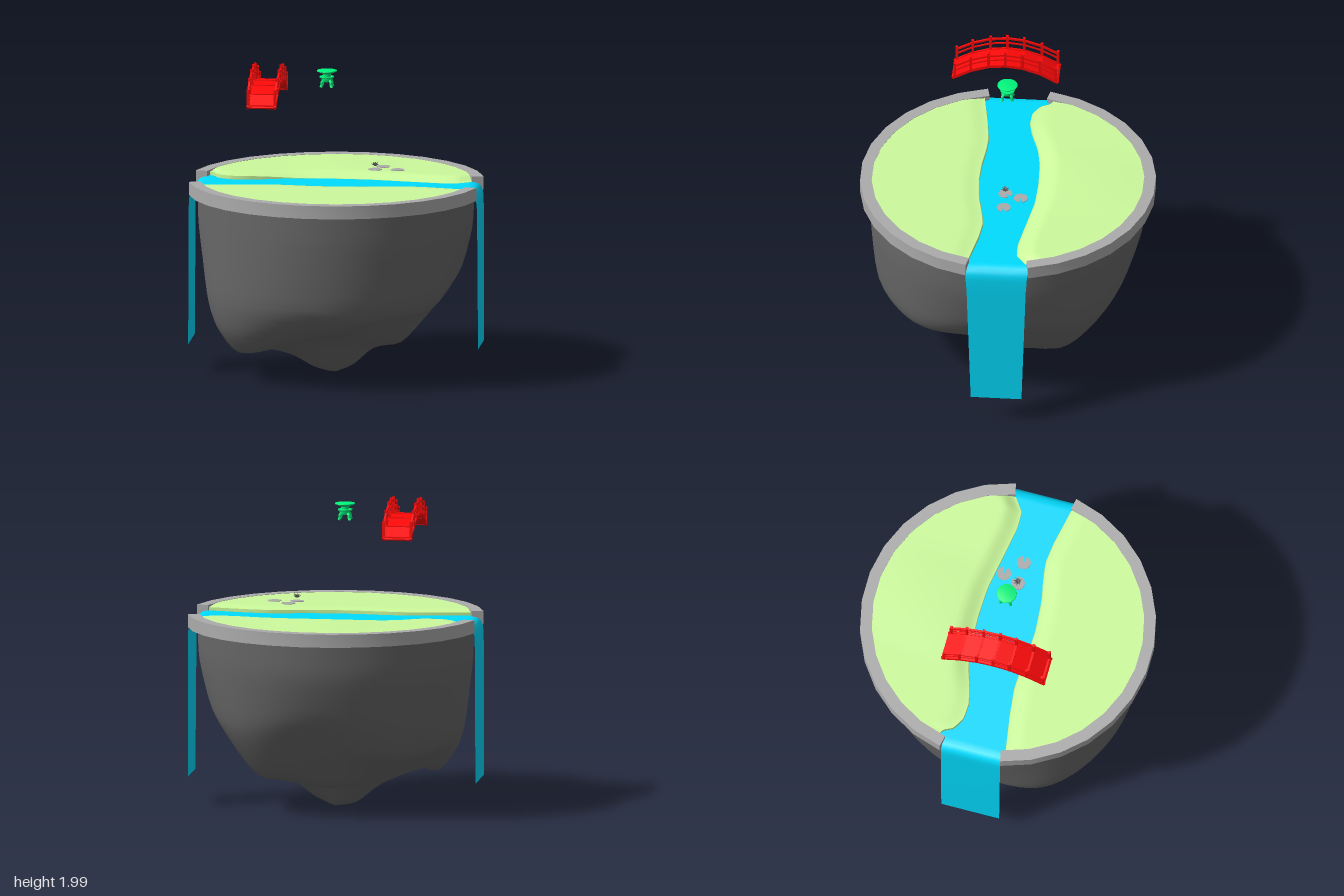
import * as THREE from 'three';
import { mergeVertices, toCreasedNormals } from 'three/addons/utils/BufferGeometryUtils.js';

const mat = color => new THREE.MeshStandardMaterial({ color, side: THREE.DoubleSide });
const STONE = mat(0xacacac), ROCK = mat(0x686868), GRASS = mat(0xccfa9c), WATER = mat(0x00dcff);
const RED = mat(0xff0808), GREEN = mat(0x00f57c);

function add(parent, name, geo, material, x = 0, y = 0, z = 0) {
  const m = new THREE.Mesh(geo, material);
  m.name = name;
  m.position.set(x, y, z);
  parent.add(m);
  return m;
}

// Surface from a rule: fn(u, v) returns [x, y, z]
function surface(nu, nv, fn) {
  const geo = new THREE.PlaneGeometry(1, 1, nu, nv);
  const p = geo.attributes.position, uv = geo.attributes.uv;
  for (let i = 0; i < p.count; i++) p.setXYZ(i, ...fn(uv.getX(i), uv.getY(i)));
  geo.deleteAttribute('uv');
  geo.deleteAttribute('normal');
  const merged = mergeVertices(geo, 1e-5);
  merged.computeVertexNormals();
  return merged;
}

// Piecewise linear lookup in [[x, value], ...]
function lookup(table, x) {
  for (let i = 1; i < table.length; i++) {
    const [x0, a] = table[i - 1], [x1, b] = table[i];
    if (x <= x1) return a + (b - a) * Math.max(0, (x - x0) / (x1 - x0));
  }
  return table[table.length - 1][1];
}

// Hanging rock: radial profiles [r, y] at given angles (from +x towards +z), blended in between
function rockGeometry() {
  const top = [.885, 1.17], tip = [0, 0];
  const profiles = [
    [0, [.87, .94], [.8, .68], [.7, .53], [.59, .385], [.42, .2], [.25, .17], [.13, .08]],
    [48, [.88, .94], [.84, .6], [.78, .47], [.62, .44], [.45, .3], [.28, .17], [.15, .06]],
    [90, [.88, .94], [.84, .545], [.75, .41], [.64, .34], [.45, .28], [.27, .14], [.14, .03]],
    [146, [.88, .94], [.87, .54], [.82, .33], [.71, .185], [.58, .21], [.33, .14], [.15, .04]],
    [183, [.88, .94], [.81, .545], [.75, .42], [.63, .34], [.48, .24], [.28, .14], [.14, .03]],
    [225, [.88, .94], [.8, .6], [.71, .4], [.56, .31], [.4, .21], [.28, .14], [.14, .04]],
    [270, [.87, .94], [.79, .68], [.68, .5], [.58, .36], [.42, .18], [.24, .17], [.14, .04]],
    [315, [.87, .94], [.81, .6], [.72, .42], [.58, .24], [.45, .21], [.3, .18], [.15, .07]],
  ].map(([deg, ...pts]) => ({
    deg,
    curve: new THREE.CatmullRomCurve3([top, ...pts, tip].map(([r, y]) => new THREE.Vector3(r, y, 0)), false, 'catmullrom', .4),
  }));
  profiles.push({ deg: 360, curve: profiles[0].curve });
  return surface(72, 32, (u, v) => {
    const deg = (u % 1) * 360, a = deg * Math.PI / 180;
    const k = profiles.findIndex(p => p.deg > deg), from = profiles[k - 1], to = profiles[k];
    const w = THREE.MathUtils.smoothstep(deg, from.deg, to.deg);
    const p = from.curve.getPoint(1 - v).lerp(to.curve.getPoint(1 - v), w);
    return [p.x * Math.cos(a), p.y, p.x * Math.sin(a)];
  });
}

// Half of the stone rim, between the two water gaps
function rimGeometry() {
  const n = 13, start = 12.2 * Math.PI / 180, step = (Math.PI - 2 * start) / n;
  const pts = [];
  const arc = (r, i) => pts.push(new THREE.Vector2(r * Math.cos(start + i * step), r * Math.sin(start + i * step)));
  for (let i = 0; i <= n; i++) arc(.948, i);
  for (let i = n; i >= 0; i--) arc(.873, i);
  const geo = new THREE.ExtrudeGeometry(new THREE.Shape(pts), { depth: .085, bevelEnabled: false });
  return toCreasedNormals(geo.rotateX(-Math.PI / 2), .6);
}

// Grass bank from the winding waterline out under the rim; drop(x) is the depth of its slope
function bankGeometry(side, line, drop, dome) {
  return surface(48, 20, (u, v) => {
    const x = .848 * Math.sin((u - .5) * Math.PI);
    const outer = Math.sqrt(.882 ** 2 - x * x);
    const edge = Math.min(lookup(line, x), outer);
    if (v < .01) return [x, 1.18, side * (edge + .002)];
    const s = ((v - .05) / .95) ** 1.6, d = s * (outer - edge);
    const h = (THREE.MathUtils.smoothstep(d, 0, .12) - 1) * drop(x);
    const swell = dome * Math.max(0, 1 - (x / .35) ** 2) * Math.sin(Math.PI * s);
    return [x, 1.248 + h + swell, side * (edge + d)];
  });
}

// River and both falls as one ribbon: [x, y, half width]
function waterGeometry() {
  const bend = [[.3, 1.215, .23], [.84, 1.215, .24], [.862, 1.214, .197], [.89, 1.207, .197], [.91, 1.19, .197],
    [.922, 1.165, .197], [.927, 1.13, .196]];
  const rightFall = [...bend, [.929, 1.05, .19], [.932, .19, .163]];
  const leftFall = [...bend, [.929, 1.05, .196], [.932, .19, .192]];
  const path = [...leftFall.map(([x, y, w]) => [-x, y, w]).reverse(), ...rightFall];
  const n = path.length - 1;
  return surface(n, 4, (u, v) => {
    const [x, y, w] = path[Math.round(u * n)];
    return [x, y, (v * 2 - 1) * w + .004];
  });
}

function buildBridge() {
  const g = new THREE.Group();
  g.name = 'bridge';
  const deckY = z => 1.887 - .108 * (z / .33) ** 2;
  const posts = [-.325, -.222, -.108, 0, .108, .222, .325];
  // box spanning two neighbouring stations along the arch
  const span = (name, x, z0, z1, lift, w, h) => {
    const dy = deckY(z1) - deckY(z0), len = Math.hypot(z1 - z0, dy);
    const m = add(g, name, new THREE.BoxGeometry(w, h, len + .006), RED, x, (deckY(z0) + deckY(z1)) / 2 + lift, (z0 + z1) / 2);
    m.rotation.x = -Math.atan2(dy, z1 - z0);
  };
  const stations = [-.338, ...posts.slice(1, -1), .338];
  for (let i = 0; i < 6; i++) {
    span('deckPlank', 0, stations[i], stations[i + 1], 0, .18, .01);
    for (const x of [-.088, .088]) {
      span('stringer', x, stations[i], stations[i + 1], 0, .014, .02);
      span('handrail', x, posts[i], posts[i + 1], .085, .013, .012);
      span('middleRail', x, posts[i], posts[i + 1], .05, .009, .009);
    }
  }
  for (const z of posts) {
    for (const x of [-.088, .088]) add(g, 'post', new THREE.BoxGeometry(.018, .115, .016), RED, x, deckY(z) + .05, z);
    add(g, 'crossBeam', new THREE.BoxGeometry(.18, .016, .014), RED, 0, deckY(z), z);
  }
  g.position.set(-.44, 0, .045);
  return g;
}

function buildLantern() {
  const g = new THREE.Group();
  g.name = 'lantern';
  const lathe = (name, pts, seg) =>
    add(g, name, toCreasedNormals(new THREE.LatheGeometry(pts.map(p => new THREE.Vector2(...p)), seg), .7), GREEN);
  lathe('roof', [[0, .084], [.028, .086], [.056, .1], [.065, .104], [.064, .109], [.04, .113], [0, .115]], 24);
  lathe('lightBox', [[.026, .06], [.026, .087]], 12);
  lathe('platform', [[0, .058], [.04, .058], [.047, .064], [.047, .07], [0, .07]], 16);
  lathe('base', [[0, .036], [.03, .036], [.036, .048], [.036, .059]], 12);
  // four splayed legs
  for (let i = 0; i < 4; i++) {
    const a = i * Math.PI / 2 + Math.PI / 4, c = Math.cos(a), s = Math.sin(a);
    const curve = new THREE.CatmullRomCurve3([[.026, .046], [.042, .034], [.042, .018], [.05, .004]]
      .map(([r, y]) => new THREE.Vector3(r * c, y, r * s)));
    add(g, 'leg', new THREE.TubeGeometry(curve, 6, .01, 6), GREEN);
  }
  g.position.set(-.06, 1.85, .008);
  return g;
}

function buildLilies() {
  const g = new THREE.Group();
  g.name = 'waterLilies';
  const padGeo = new THREE.CylinderGeometry(.045, .045, .003, 20, 1, false, Math.PI / 2 + .25, Math.PI * 2 - .5);
  for (const [x, z, turn] of [[.29, -.105, 0], [.395, -.003, 0], [.25, -.003, .7]])
    add(g, 'lilyPad', padGeo, STONE, x, 1.319, z).rotation.y = turn;
  // two rings of pointed petals
  const petal = new THREE.ConeGeometry(.009, .032, 5).scale(1, 1, .5).translate(0, .016, 0);
  for (let i = 0; i < 14; i++) {
    const outer = i < 8;
    const m = add(g, 'petal', petal, ROCK, .25, 1.344, -.003);
    m.rotation.set(outer ? 1.2 : .7, (outer ? i / 8 : i / 6) * Math.PI * 2, 0, 'YXZ');
  }
  return g;
}

export function createModel() {
  const model = new THREE.Group();
  model.name = 'floatingGarden';
  add(model, 'rock', rockGeometry(), ROCK);
  for (const turn of [0, Math.PI]) add(model, 'stoneRim', rimGeometry(), STONE, 0, 1.165).rotation.y = turn;
  const backLine = [[-.85, .23], [-.81, .21], [-.78, .145], [-.7, .1], [-.6, .095], [-.5, .115], [-.35, .165],
    [-.2, .188], [0, .195], [.2, .188], [.45, .145], [.65, .112], [.76, .115], [.85, .18]];
  const frontLine = [[-.85, .215], [-.6, .175], [-.42, .155], [-.3, .16], [-.15, .178], [0, .182],
    [.2, .167], [.35, .138], [.46, .122], [.6, .138], [.85, .19]];
  const backDrop = x => .01 + .023 * THREE.MathUtils.smoothstep(x, -.6, -.2);
  add(model, 'backBank', bankGeometry(-1, backLine, backDrop, .01), GRASS);
  add(model, 'frontBank', bankGeometry(1, frontLine, () => .012, 0), GRASS);
  add(model, 'riverAndFalls', waterGeometry(), WATER);
  model.add(buildBridge(), buildLantern(), buildLilies());
  return model;
}
